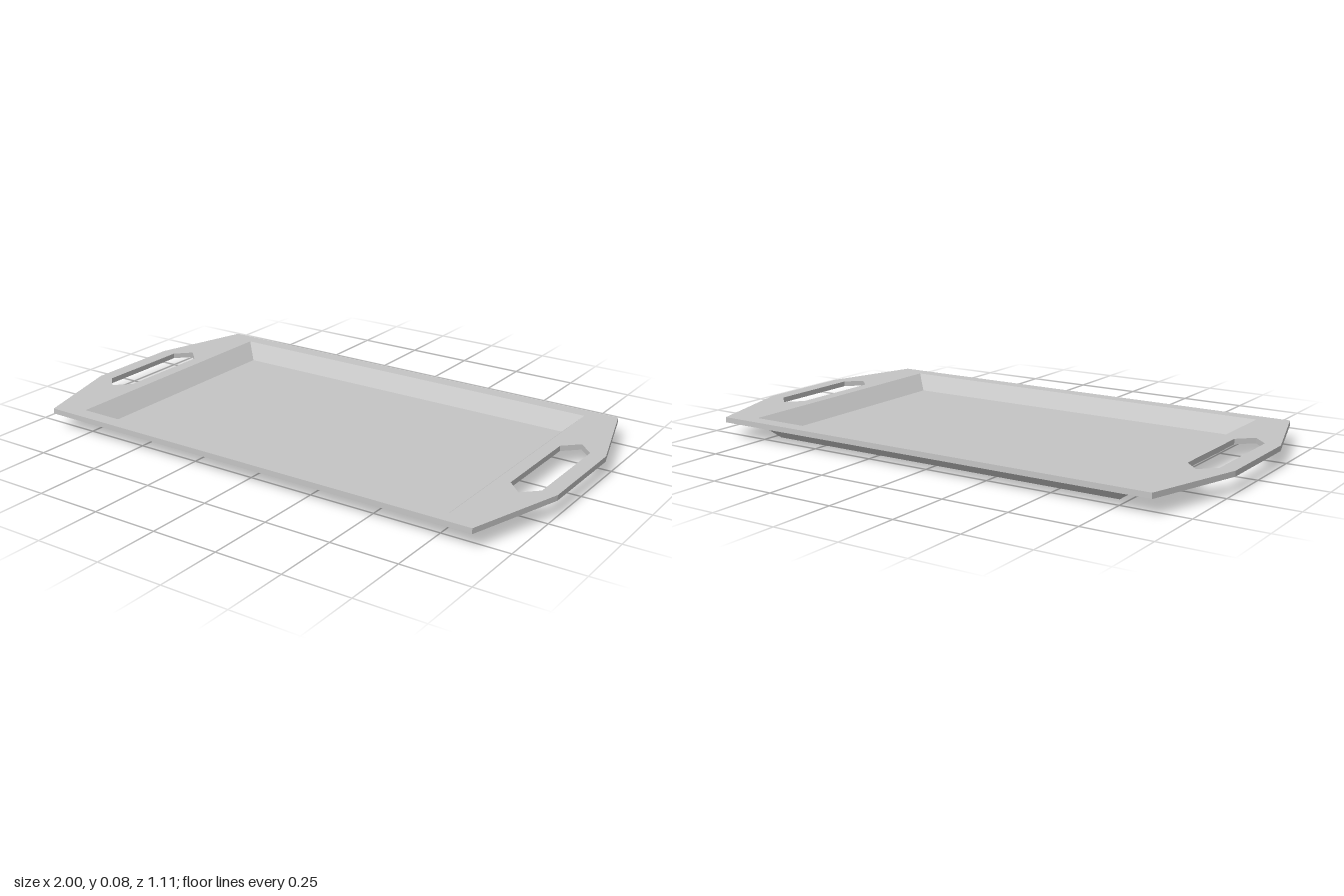
import * as THREE from 'three';

const T = 0.02;        // sheet thickness
const RIM_Y = 0.058;   // underside of the rim
const TOP = [0.78, 0.5];      // basin half-size at the rim
const FLOOR = [0.72, 0.443];  // basin half-size at the floor

const points = (list) => list.map(([x, y]) => new THREE.Vector2(x, y));

// Sloped rectangular pan surface, seen from inside (up) or from outside
function panGeometry(y, inside) {
  const corners = [[-1, -1], [-1, 1], [1, 1], [1, -1]];
  const ring = ([w, d], h) => corners.flatMap(([sx, sz]) => [sx * w, h, sz * d]);
  const index = [0, 1, 2, 0, 2, 3];
  for (let i = 0; i < 4; i++) {
    const j = (i + 1) % 4;
    index.push(i, i + 4, j, j, i + 4, j + 4);
  }
  if (!inside) index.reverse();
  const indexed = new THREE.BufferGeometry();
  indexed.setAttribute('position', new THREE.Float32BufferAttribute([...ring(FLOOR, y), ...ring(TOP, y + RIM_Y)], 3));
  indexed.setIndex(index);
  const flat = indexed.toNonIndexed();
  flat.computeVertexNormals();
  return flat;
}

export function createModel() {
  const group = new THREE.Group();
  group.name = 'servingTray';
  const grey = new THREE.MeshStandardMaterial({ color: 0xc4c4c4 });
  grey.name = 'light grey';

  const add = (name, geometry) => {
    const mesh = new THREE.Mesh(geometry, grey);
    mesh.name = name;
    group.add(mesh);
    return mesh;
  };

  // Flat rim with tapered ends, basin opening and two handle slots
  const outline = new THREE.Shape(points([
    [-0.89, -0.555], [0.89, -0.555], [1, -0.19], [1, 0.19],
    [0.89, 0.555], [-0.89, 0.555], [-1, 0.19], [-1, -0.19],
  ]));
  const [w, d] = TOP;
  outline.holes.push(new THREE.Path(points([[-w, -d], [-w, d], [w, d], [w, -d]])));
  for (const side of [-1, 1]) {
    outline.holes.push(new THREE.Path(points([
      [0.83, -0.187], [0.83, 0.187], [0.887, 0.243],
      [0.943, 0.187], [0.943, -0.187], [0.887, -0.243],
    ].map(([x, y]) => [side * x, y]))));
  }
  const rim = new THREE.ExtrudeGeometry(outline, { depth: T, bevelEnabled: false });
  rim.rotateX(-Math.PI / 2);
  add('rim', rim).position.y = RIM_Y;

  // Basin: inner and outer faces of the sheet
  add('basinInside', panGeometry(T, true));
  add('basinOutside', panGeometry(0, false));

  return group;
}
